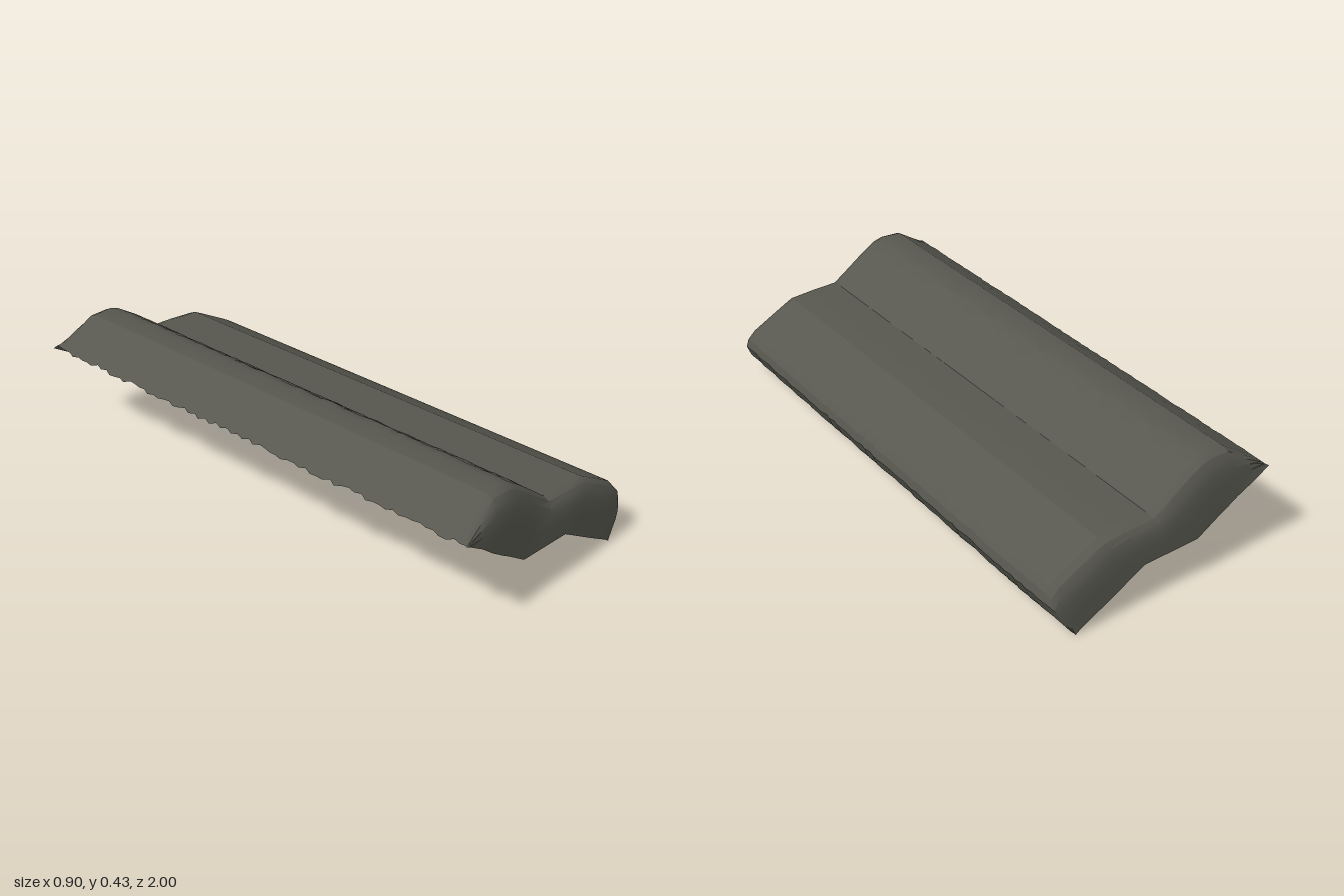
import * as THREE from 'three';
import { toCreasedNormals } from 'three/addons/utils/BufferGeometryUtils.js';

// Stepped cross-section, from the high edge (-x) to the low edge (+x):
// [top x, top y, foot x, foot y]; end walls run from the top line to the foot line.
const PROFILE = [
  [-0.42, 0.33, -0.42, 0.33], [-0.34, 0.385, -0.36, 0.295], [-0.27, 0.429, -0.30, 0.258],
  [-0.20, 0.434, -0.25, 0.227], [-0.16, 0.424, -0.22, 0.21], [-0.10, 0.385, -0.18, 0.185],
  [-0.04, 0.342, -0.14, 0.16], [0.025, 0.293, -0.05, 0.158], [0.12, 0.29, 0.075, 0.155],
  [0.22, 0.285, 0.14, 0.119], [0.31, 0.238, 0.21, 0.08], [0.39, 0.195, 0.26, 0.053],
  [0.418, 0.165, 0.29, 0.037], [0.427, 0.135, 0.31, 0.026], [0.408, 0.09, 0.325, 0.018],
  [0.34, 0.006, 0.34, 0.006],
];
// Rounded end: [z, drop from top line towards foot line]
const END = [[0.99, 1], [0.985, 0.6], [0.98, 0.33], [0.97, 0.17], [0.955, 0.06], [0.93, 0.0]];

function seeded(seed) {
  return () => {
    seed = (seed * 16807) % 2147483647;
    return seed / 2147483647 - 0.5;
  };
}

function shellGeometry() {
  const random = seeded(41);
  const sections = END.map(([z, f]) => [-z, f]);
  for (let i = 1; i < 70; i++) sections.push([-0.93 + (1.86 * i) / 70, 0]);
  sections.push(...[...END].reverse());

  const n = PROFILE.length;
  const positions = [];
  const index = [];
  sections.forEach(([z, f], r) => {
    // ragged long edges and a slightly worn upper step
    const leftRag = random() * 0.014;
    const rightRag = random() * 0.007;
    PROFILE.forEach(([tx, ty, bx, by], c) => {
      let x = tx + (bx - tx) * f;
      let y = ty + (by - ty) * f;
      if (c < 2) {
        x += leftRag;
        y += leftRag * 0.6;
      }
      if (c > 11 && f < 0.2) x += rightRag;
      if (c > 3 && c < 7 && f === 0) y += random() * 0.006;
      positions.push(x, y, z);
      if (r < sections.length - 1 && c < n - 1) {
        const a = r * n + c;
        index.push(a, a + n, a + 1, a + 1, a + n, a + n + 1);
      }
    });
  });
  const geometry = new THREE.BufferGeometry();
  geometry.setAttribute('position', new THREE.Float32BufferAttribute(positions, 3));
  geometry.setIndex(index);
  return toCreasedNormals(geometry, 0.4);
}

export function createModel() {
  const stone = new THREE.MeshStandardMaterial({ color: 0x57574f, side: THREE.DoubleSide });
  stone.name = 'dark grey stone';

  // open-bottomed stepped shell, turned a little about the upright axis
  const shell = new THREE.Mesh(shellGeometry(), stone);
  shell.name = 'steppedShell';
  shell.rotation.y = 0.021;

  const group = new THREE.Group();
  group.name = 'steppedSlab';
  group.add(shell);
  return group;
}
